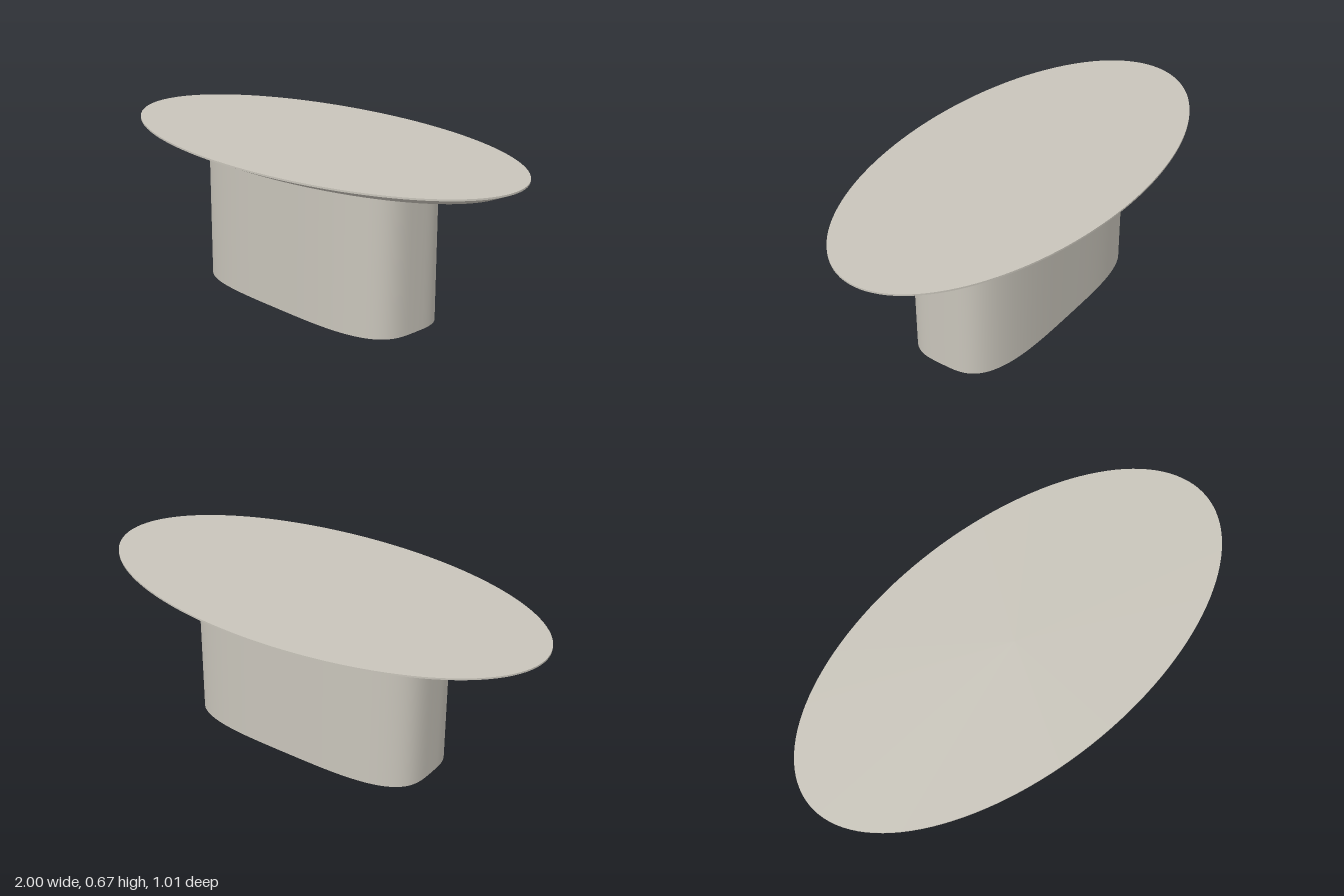
import * as THREE from 'three';
import { mergeVertices } from 'three/addons/utils/BufferGeometryUtils.js';

// Solid between two horizontal superellipses: { y, a, b } = height, half length, half depth.
// Exponent n: 2 is an ellipse, larger is squarer. Caps keep sharp edges, sides are smooth.
function loft(bottom, top, n, open = false) {
  let geo = new THREE.CylinderGeometry(1, 1, 1, 128, 1, open);
  geo.deleteAttribute('uv');
  geo = mergeVertices(geo, 1e-4);
  const pos = geo.attributes.position;
  const curve = (v) => Math.sign(v) * Math.pow(Math.abs(v), 2 / n);
  for (let i = 0; i < pos.count; i++) {
    const ring = pos.getY(i) > 0 ? top : bottom;
    pos.setXYZ(i, ring.a * curve(pos.getX(i)), ring.y, ring.b * curve(pos.getZ(i)));
  }
  geo.computeVertexNormals();
  return geo;
}

export function createModel() {
  const stone = new THREE.MeshStandardMaterial({ color: 0xc8c4ba });
  stone.name = 'warm grey stone';

  const model = new THREE.Group();
  model.name = 'ovalTable';
  const add = (name, geometry, parent) => {
    const mesh = new THREE.Mesh(geometry, stone);
    mesh.name = name;
    parent.add(mesh);
  };

  // Pedestal with softly squared oval section
  add('pedestal', loft({ y: 0, a: 0.555, b: 0.238 }, { y: 0.63, a: 0.555, b: 0.238 }, 3.4), model);

  // Oval top: thin upright rim over a wide undercut bevel
  const tableTop = new THREE.Group();
  tableTop.name = 'tableTop';
  model.add(tableTop);
  const under = { y: 0.629, a: 0.925, b: 0.43 };
  const rimLow = { y: 0.662, a: 1, b: 0.505 };
  const rimHigh = { y: 0.669, a: 1, b: 0.505 };
  add('undercutBevel', loft(under, rimLow, 2), tableTop);
  add('topSlab', loft(rimLow, rimHigh, 2), tableTop);

  return model;
}
